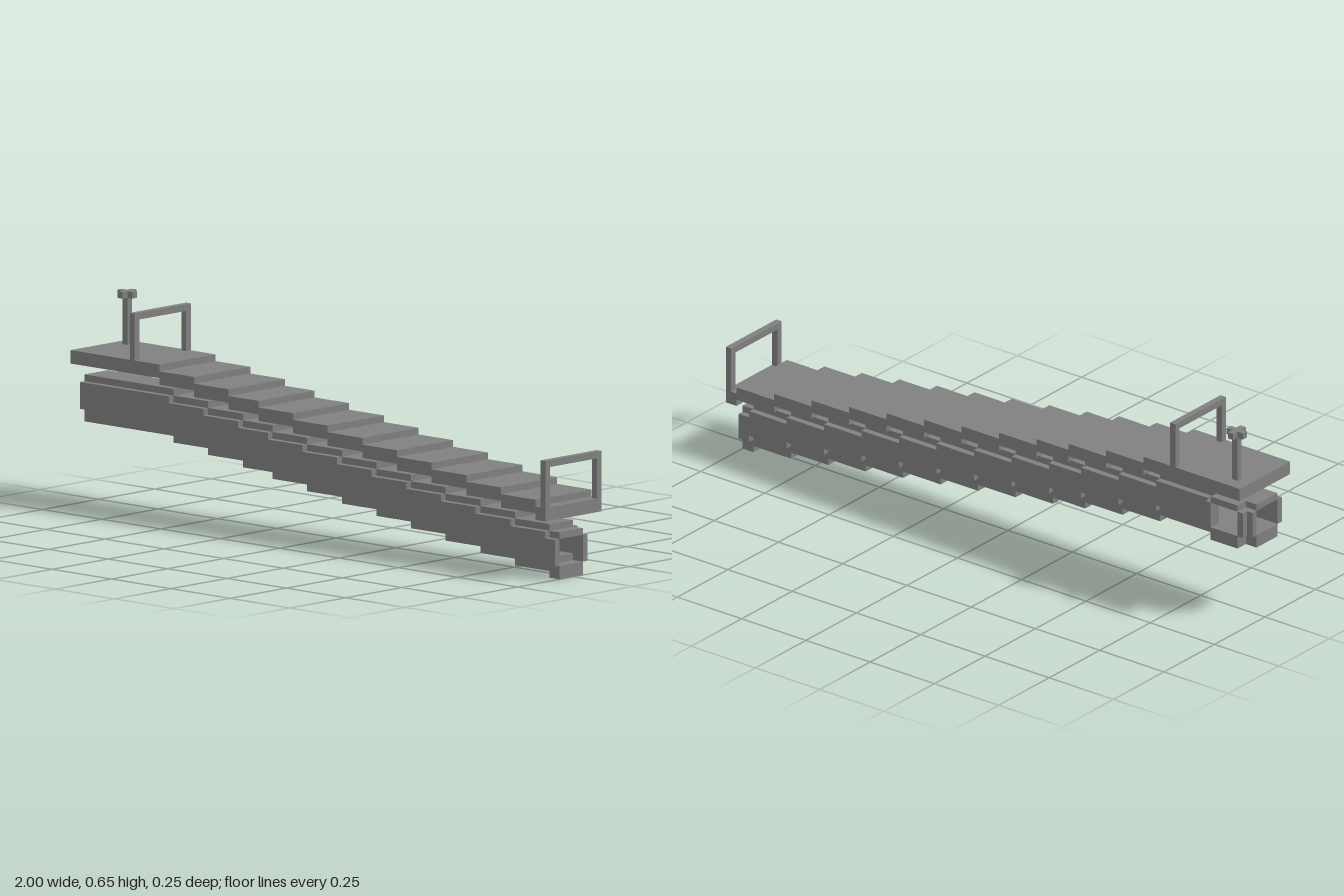
import * as THREE from 'three';

const U = 1 / 48; // one block; the ramp is 96 blocks long

export function createModel() {
  const model = new THREE.Group();
  model.name = 'steppedCoveredRamp';
  const grey = new THREE.MeshStandardMaterial({ color: 0x808080 });
  grey.name = 'grey';

  // Box between block coordinates; x is counted from the high end
  function block(parent, name, x0, x1, y0, y1, z0, z1) {
    const geo = new THREE.BoxGeometry((x1 - x0) * U, (y1 - y0) * U, (z1 - z0) * U);
    const mesh = new THREE.Mesh(geo, grey);
    mesh.position.set(((x0 + x1) / 2 - 48) * U, ((y0 + y1) / 2) * U, ((z0 + z1) / 2) * U);
    mesh.name = name;
    parent.add(mesh);
  }

  function group(name) {
    const g = new THREE.Group();
    g.name = name;
    model.add(g);
    return g;
  }

  // Each section sits one block lower than the one before
  const edges = [0, 18, 25, 32, 38, 45, 52, 59, 66, 73, 80, 87, 94, 96];
  const deck = group('deck');
  const duct = group('duct');
  for (let i = 0; i < edges.length - 1; i++) {
    const a = edges[i], b = edges[i + 1];
    const y = 12 - i;
    block(deck, 'deckSlab', a, b, y + 9, y + 11, -6, 6);
    block(duct, 'ductFloor', a, b, y, y + 2, -2, 3);
    block(duct, 'ductCeiling', a, b, y + 6, y + 7, -2, 3);
    block(duct, 'frontWall', a, b, y + 2, y + 6, 3, 4);
    // The back wall of the top section leaves room for the side opening
    const spans = i === 0 ? [[0, 2], [7, b]] : [[a, b]];
    for (const [s, e] of spans) block(duct, 'backWall', s, e, y + 2, y + 6, -3, -2);
  }

  // Short open branch at the back of the high end
  const branch = group('sideOpening');
  block(branch, 'branchFloor', 2, 7, 12, 14, -4, -2);
  block(branch, 'branchCeiling', 2, 7, 18, 19, -4, -2);
  for (const x of [1, 7]) block(branch, 'branchWall', x, x + 1, 14, 18, -4, -3);

  // Square hoops across the deck
  function hoop(name, x, base) {
    const g = group(name);
    for (const z of [-6, 5]) block(g, 'hoopPost', x, x + 1, base, base + 6, z, z + 1);
    block(g, 'hoopBar', x, x + 1, base + 6, base + 7, -6, 6);
  }
  hoop('upperHoop', 12, 23);
  hoop('lowerHoop', 95, 11);

  // Post with a cross-shaped handwheel
  const valve = group('valvePost');
  block(valve, 'valveStem', 2, 3, 23, 31, -4, -3);
  for (const x of [1, 3]) block(valve, 'wheelArm', x, x + 1, 30, 31, -4, -3);
  for (const z of [-5, -3]) block(valve, 'wheelArm', 2, 3, 30, 31, z, z + 1);

  return model;
}
